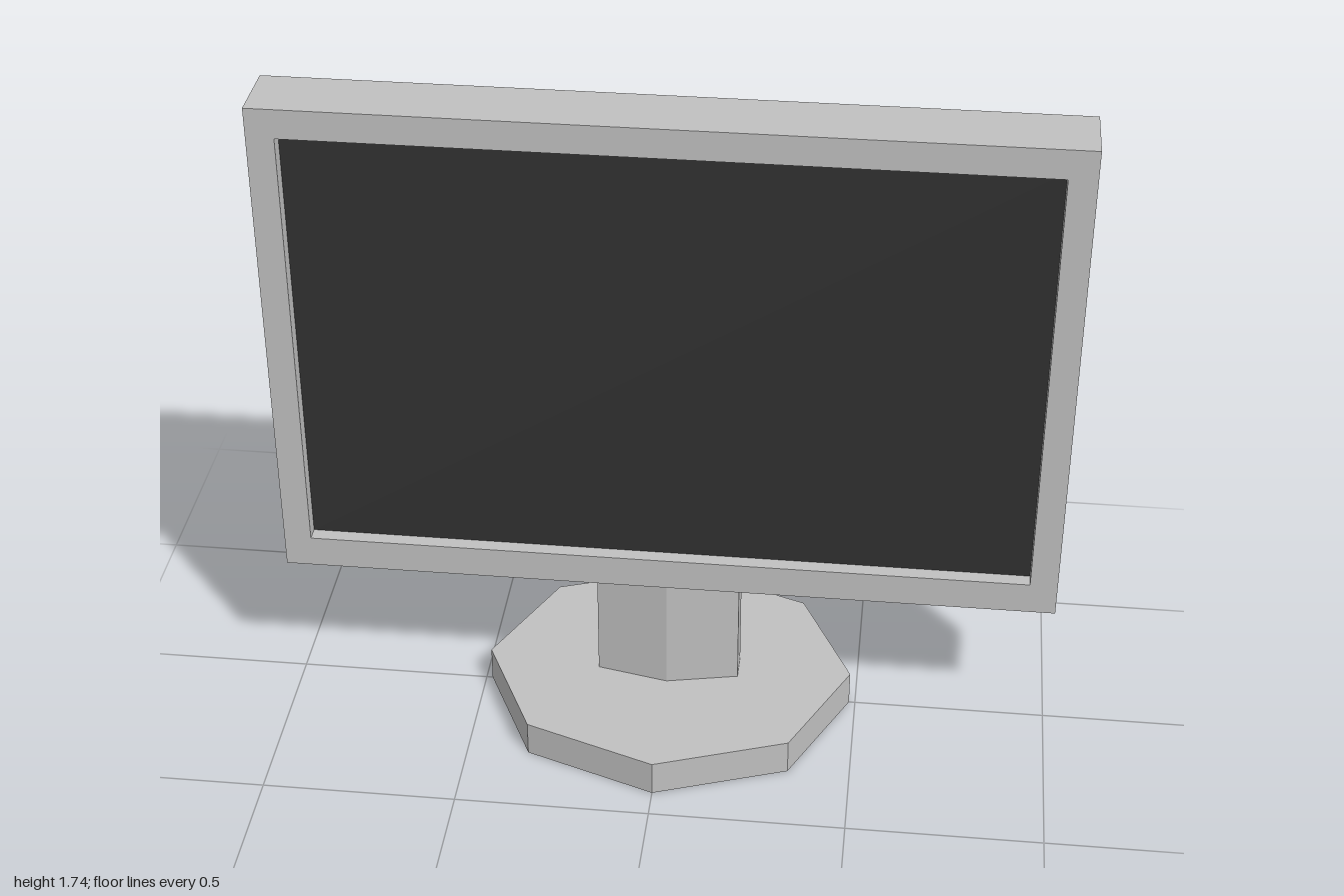
import * as THREE from 'three';

const bodyGrey = new THREE.MeshStandardMaterial({ color: 0xc0c0c0, name: 'bodyGrey' });
const screenBlack = new THREE.MeshStandardMaterial({ color: 0x313131, name: 'screenBlack' });

const HALF_DEPTH = 0.088;
const OPENING = { x: 0.93, bottom: 0.495, top: 1.658 };

function part(name, geometry, material) {
  const mesh = new THREE.Mesh(geometry, material);
  mesh.name = name;
  return mesh;
}

function rectangle(Type, x, bottom, top) {
  const path = new Type();
  path.moveTo(-x, bottom);
  path.lineTo(x, bottom);
  path.lineTo(x, top);
  path.lineTo(-x, top);
  path.closePath();
  return path;
}

// Upright prism with a polygon footprint of [x, z] points
function prism(points, bottom, top) {
  const shape = new THREE.Shape(points.map(([x, z]) => new THREE.Vector2(x, -z)));
  const geometry = new THREE.ExtrudeGeometry(shape, { depth: top - bottom, bevelEnabled: false });
  geometry.rotateX(-Math.PI / 2);
  geometry.translate(0, bottom, 0);
  return geometry;
}

// Faceted 3 x 3 rear shell: the rim is flush with the frame, the middle panel stands out
function rearShell() {
  const xs = [-OPENING.x, -0.56, 0.56, OPENING.x];
  const ys = [OPENING.bottom, 0.785, 1.365, OPENING.top];
  const inner = (i) => i === 1 || i === 2;
  const corner = (i, j) =>
    new THREE.Vector3(xs[i], ys[j], inner(i) && inner(j) ? -0.175 : -HALF_DEPTH);
  const positions = [];
  const normals = [];
  for (let i = 0; i < 3; i++) {
    for (let j = 0; j < 3; j++) {
      // Counter-clockwise seen from behind
      const q = [corner(i, j), corner(i, j + 1), corner(i + 1, j + 1), corner(i + 1, j)];
      const normal = q[2].clone().sub(q[0]).cross(q[3].clone().sub(q[1])).normalize();
      // Corner panels are split along the ridge running to the outer corner
      const order = i === j ? [0, 1, 2, 0, 2, 3] : [0, 1, 3, 1, 2, 3];
      for (const k of order) {
        positions.push(...q[k].toArray());
        normals.push(...normal.toArray());
      }
    }
  }
  const geometry = new THREE.BufferGeometry();
  geometry.setAttribute('position', new THREE.Float32BufferAttribute(positions, 3));
  geometry.setAttribute('normal', new THREE.Float32BufferAttribute(normals, 3));
  return geometry;
}

export function createModel() {
  const model = new THREE.Group();
  model.name = 'monitor';

  // Eight-sided foot
  const foot = [[0, 0.42], [0.34, 0.298], [0.484, 0], [0.34, -0.298],
    [0, -0.42], [-0.34, -0.298], [-0.484, 0], [-0.34, 0.298]];
  model.add(part('base', prism(foot, 0, 0.095), bodyGrey));

  // Six-sided neck
  const neck = [[0, 0.081], [0.186, 0.041], [0.186, -0.041],
    [0, -0.081], [-0.186, -0.041], [-0.186, 0.041]];
  model.add(part('neck', prism(neck, 0.09, 0.415), bodyGrey));

  // Housing frame with an opening
  const outline = rectangle(THREE.Shape, 1, 0.41, 1.735);
  outline.holes.push(rectangle(THREE.Path, OPENING.x, OPENING.bottom, OPENING.top));
  const frame = new THREE.ExtrudeGeometry(outline, { depth: HALF_DEPTH * 2, bevelEnabled: false });
  frame.translate(0, 0, -HALF_DEPTH);
  model.add(part('frame', frame, bodyGrey));

  // Recessed screen
  const screen = part('screen',
    new THREE.PlaneGeometry(OPENING.x * 2, OPENING.top - OPENING.bottom), screenBlack);
  screen.position.set(0, (OPENING.top + OPENING.bottom) / 2, 0.05);
  model.add(screen);

  model.add(part('rearShell', rearShell(), bodyGrey));
  return model;
}
